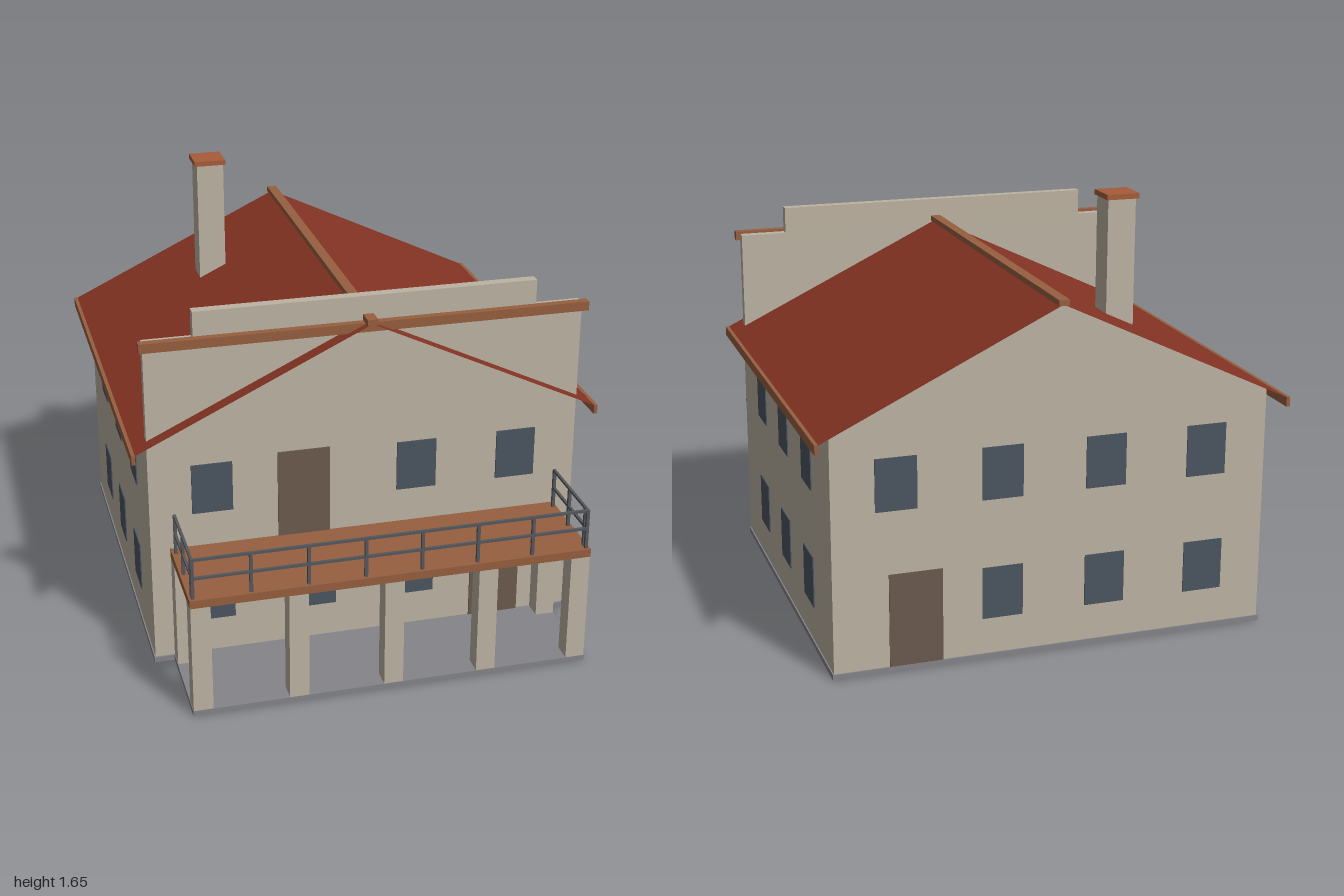
import * as THREE from 'three';

export function createModel() {
  const house = new THREE.Group();
  house.name = 'house';

  const mat = (name, color, side = THREE.FrontSide) => {
    const m = new THREE.MeshStandardMaterial({ color, side });
    m.name = name;
    return m;
  };
  const wall = mat('plaster', 0xbdb3a2);
  const roofRed = mat('roof red', 0x843323, THREE.DoubleSide);
  const wood = mat('wood trim', 0x965f40);
  const clay = mat('clay', 0xa65c39);
  const stone = mat('stone', 0x85858a);
  const glass = mat('window glass', 0x4b5661);
  const doorBrown = mat('door brown', 0x6b5a4d);
  const iron = mat('railing iron', 0x56585c);

  const add = (name, geo, material, parent = house) => {
    const mesh = new THREE.Mesh(geo, material);
    mesh.name = name;
    parent.add(mesh);
    return mesh;
  };
  // Box given by its extents on each axis
  const box = (name, material, x0, x1, y0, y1, z0, z1, parent) => {
    const g = new THREE.BoxGeometry(x1 - x0, y1 - y0, z1 - z0);
    g.translate((x0 + x1) / 2, (y0 + y1) / 2, (z0 + z1) / 2);
    return add(name, g, material, parent);
  };
  // Outline in x,y extruded from z0 to z1
  const slab = (name, material, pts, z0, z1) => {
    const shape = new THREE.Shape(pts.map(([x, y]) => new THREE.Vector2(x, y)));
    const g = new THREE.ExtrudeGeometry(shape, { depth: z1 - z0, bevelEnabled: false });
    g.translate(0, 0, z0);
    return add(name, g, material);
  };

  // Foundation and porch floor
  box('foundation', stone, -0.845, 0.845, 0, 0.022, -0.93, 0.604);
  box('porchFloor', stone, -0.767, 0.767, 0, 0.022, 0.604, 1);

  // Main body with gables
  slab('body', wall, [[-0.84, 0.022], [0.84, 0.022], [0.84, 0.938], [0, 1.339], [-0.84, 0.938]], -0.925, 0.598);

  // Stepped false front rising through the roof
  slab('falseFront', wall, [
    [-0.84, 0.92], [0.84, 0.92], [0.84, 1.33], [0.655, 1.33],
    [0.655, 1.435], [-0.655, 1.435], [-0.655, 1.33], [-0.84, 1.33],
  ], 0.56, 0.6);
  box('cornice', wood, -0.857, 0.857, 1.304, 1.34, 0.598, 0.63);

  // Roof sheets, eaves boards and ridge
  for (const s of [-1, 1]) {
    const sheet = new THREE.PlaneGeometry(Math.hypot(0.9, 0.43), 1.65);
    sheet.rotateX(-Math.PI / 2);
    sheet.rotateZ(-s * Math.atan2(0.43, 0.9));
    sheet.translate(s * 0.45, 1.13, -0.165);
    add(s > 0 ? 'roofLeft' : 'roofRight', sheet, roofRed);
    box('eavesBoard', wood, s * 0.898 - 0.007, s * 0.898 + 0.007, 0.883, 0.92, -0.99, 0.66);
  }
  box('ridge', wood, -0.02, 0.02, 1.342, 1.364, -0.997, 0.665);

  // Chimney
  box('chimney', wall, -0.422, -0.312, 1.08, 1.632, -0.62, -0.51);
  box('chimneyCap', clay, -0.432, -0.304, 1.63, 1.65, -0.63, -0.503);

  // Windows and doors: thin plates on each wall
  const plate = (name, material, width, y0, y1, side, at) => {
    const mesh = add(name, new THREE.BoxGeometry(width, y1 - y0, 0.008), material);
    const y = (y0 + y1) / 2;
    if (side === 'front') mesh.position.set(at, y, 0.6);
    if (side === 'back') mesh.position.set(at, y, -0.925);
    if (side === 'left' || side === 'right') {
      mesh.position.set(side === 'left' ? 0.84 : -0.84, y, at);
      mesh.rotation.y = Math.PI / 2;
    }
  };
  const lower = [0.162, 0.362], upper = [0.625, 0.825];
  const windows = (side, row, places) =>
    places.forEach((at) => plate('window', glass, 0.156, row[0], row[1], side, at));
  windows('front', lower, [-0.6, -0.2, 0.197]);
  windows('front', upper, [-0.6, 0.197, 0.597]);
  windows('back', lower, [-0.6, -0.2, 0.2]);
  windows('back', upper, [-0.6, -0.2, 0.2, 0.6]);
  for (const side of ['left', 'right']) {
    windows(side, lower, [0.237, -0.163, -0.56]);
    windows(side, upper, [0.237, -0.163, -0.56]);
  }
  plate('frontDoor', doorBrown, 0.202, 0.022, 0.382, 'front', 0.53);
  plate('balconyDoor', doorBrown, 0.202, 0.488, 0.84, 'front', -0.247);
  plate('backDoor', doorBrown, 0.202, 0.022, 0.382, 'back', 0.53);

  // Porch posts and balcony deck
  const post = (x, z) => box('porchPost', wall, x - 0.037, x + 0.037, 0.022, 0.458, z - 0.037, z + 0.037);
  for (let i = -2; i <= 2; i++) post(i * 0.364, 0.962);
  for (const s of [-1, 1]) post(s * 0.728, 0.636);
  box('balconyDeck', wood, -0.767, 0.767, 0.456, 0.488, 0.6, 1);

  // Balcony railing
  const railing = new THREE.Group();
  railing.name = 'balconyRailing';
  house.add(railing);
  const r = 0.006;
  const upright = (x, z) => box('railPost', iron, x - r, x + r, 0.488, 0.648, z - r, z + r, railing);
  for (let i = 0; i < 8; i++) upright(-0.752 + i * 0.2149, 0.983);
  for (const s of [-1, 1]) for (const z of [0.64, 0.8, 0.961]) upright(s * 0.752, z);
  for (const y of [0.57, 0.645]) {
    box('frontRail', iron, -0.758, 0.758, y - 0.005, y + 0.005, 0.978, 0.988, railing);
    for (const s of [-1, 1]) {
      box('sideRail', iron, s * 0.752 - 0.005, s * 0.752 + 0.005, y - 0.005, y + 0.005, 0.635, 0.983, railing);
    }
  }
  return house;
}
